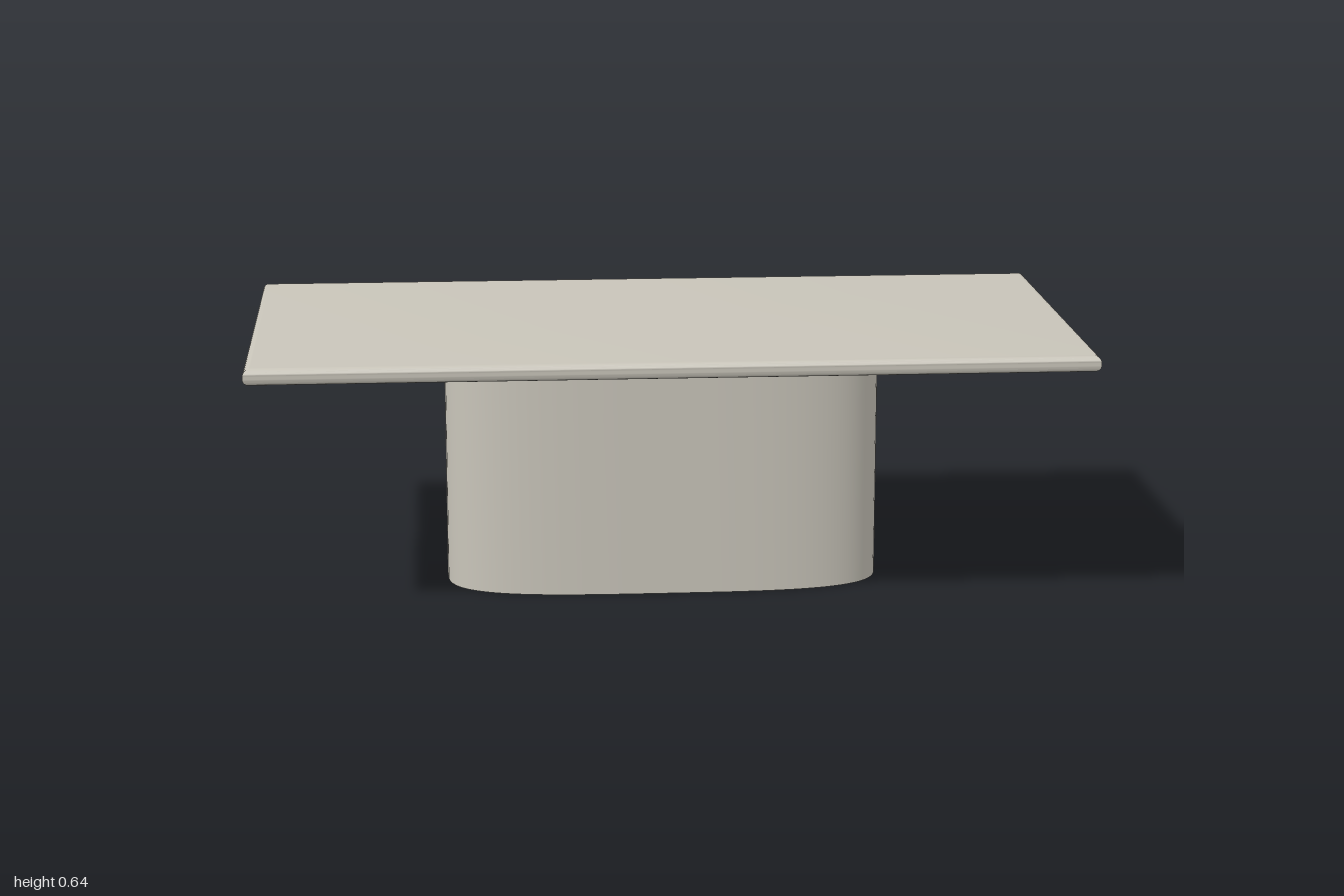
import * as THREE from 'three';
import { toCreasedNormals } from 'three/addons/utils/BufferGeometryUtils.js';

// Extrude a plan outline upward from y = 0
function extrudeUp(points, options) {
  const geometry = new THREE.ExtrudeGeometry(new THREE.Shape(points), options);
  geometry.rotateX(-Math.PI / 2);
  return toCreasedNormals(geometry, 0.6);
}

export function createModel() {
  const group = new THREE.Group();
  group.name = 'table';
  const stone = new THREE.MeshStandardMaterial({ color: 0xc8c4b9 });
  stone.name = 'warm grey stone';

  // Pedestal: softly squared oval column
  const oval = [];
  const power = 2 / 3.5;
  const soften = (v) => Math.sign(v) * Math.abs(v) ** power;
  for (let i = 0; i < 96; i++) {
    const a = (i / 96) * Math.PI * 2;
    oval.push(new THREE.Vector2(0.535 * soften(Math.cos(a)), 0.23 * soften(Math.sin(a))));
  }
  const pedestal = new THREE.Mesh(extrudeUp(oval, { depth: 0.603, bevelEnabled: false }), stone);
  pedestal.name = 'pedestal';

  // Top: thin slab with rounded edges and mitred corners
  const r = 0.017, thickness = 0.04;
  const w = 1 - r, d = 0.505 - r;
  const corners = [[-w, -d], [w, -d], [w, d], [-w, d]].map(([x, z]) => new THREE.Vector2(x, z));
  const top = new THREE.Mesh(extrudeUp(corners, {
    depth: thickness - 2 * r, bevelThickness: r, bevelSize: r, bevelSegments: 8,
  }), stone);
  top.position.y = 0.602 + r;
  top.name = 'tableTop';

  group.add(pedestal, top);
  return group;
}
